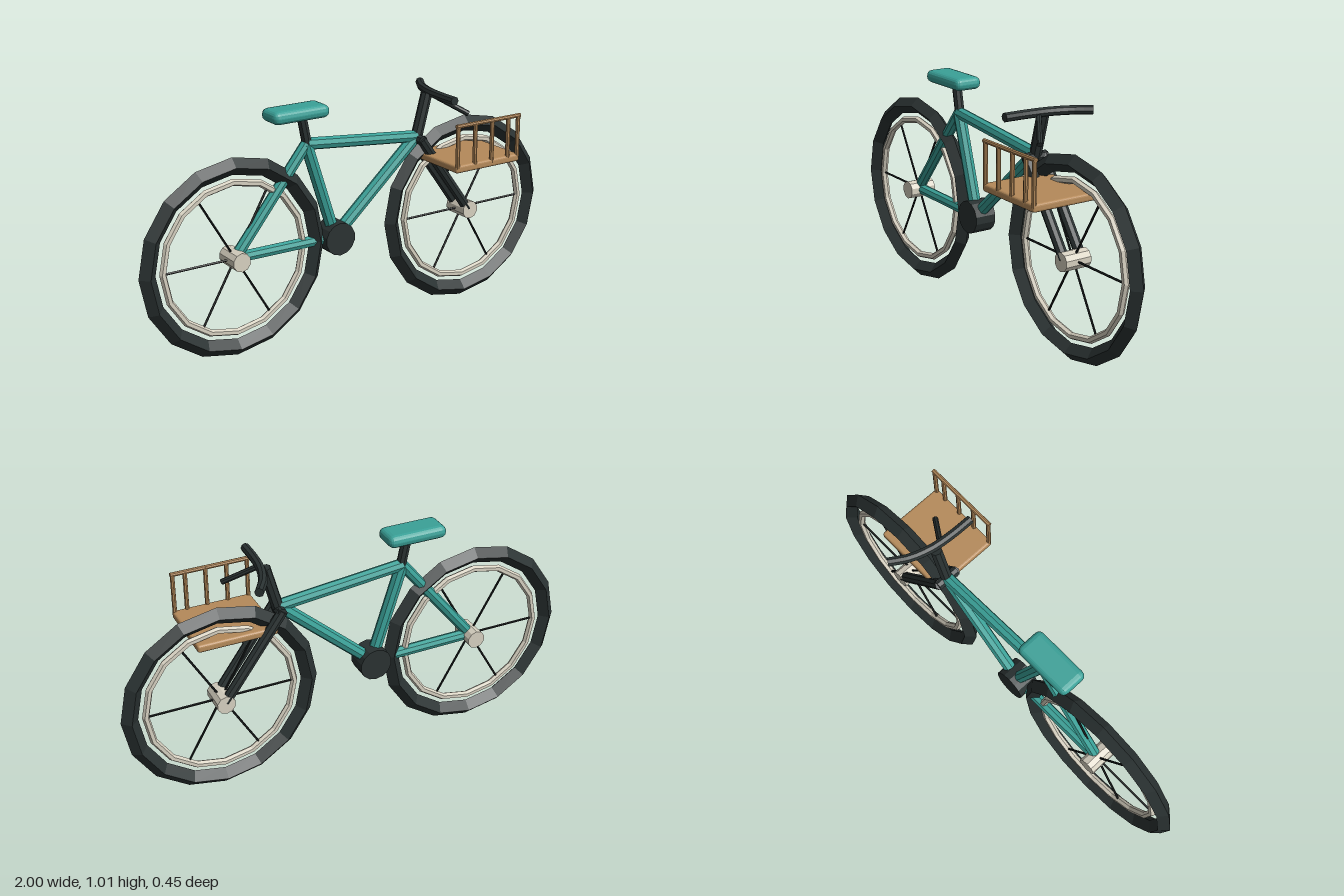
import * as THREE from 'three';
import { RoundedBoxGeometry } from 'three/addons/geometries/RoundedBoxGeometry.js';

const paint = (color) => new THREE.MeshStandardMaterial({ color, flatShading: true });

export function createModel() {
  const bike = new THREE.Group();
  bike.name = 'bicycle';
  const teal = paint(0x3aa198), dark = paint(0x2a3232), black = paint(0x161a1a);
  const cream = paint(0xd6d0c0), wood = paint(0xb58a5a);
  const Z = -0.045; // plane of the frame

  const add = (name, geometry, material, parent = bike) => {
    const mesh = new THREE.Mesh(geometry, material);
    mesh.name = name;
    parent.add(mesh);
    return mesh;
  };

  // Straight round bar between two points
  const bar = (name, a, b, r, material, parent = bike, sides = 8) => {
    const from = new THREE.Vector3(...a), to = new THREE.Vector3(...b);
    const dir = to.clone().sub(from);
    const mesh = add(name, new THREE.CylinderGeometry(r, r, dir.length(), sides), material, parent);
    mesh.position.copy(from).add(to).multiplyScalar(0.5);
    mesh.quaternion.setFromUnitVectors(new THREE.Vector3(0, 1, 0), dir.normalize());
    return mesh;
  };

  // Wheels: tyre with a ridged tread, rim, hub and three full-width spokes
  for (const [name, x] of [['rearWheel', -0.577], ['frontWheel', 0.577]]) {
    const wheel = new THREE.Group();
    wheel.name = name;
    wheel.position.set(x, 0.423, Z);
    bike.add(wheel);
    add('tyre', new THREE.TorusGeometry(0.387, 0.036, 4, 16), dark, wheel);
    add('rim', new THREE.TorusGeometry(0.32, 0.015, 6, 16), cream, wheel);
    bar('hub', [0, 0, -0.06], [0, 0, 0.06], 0.04, cream, wheel, 10);
    for (let i = 0; i < 3; i++) {
      const a = (i * Math.PI) / 3, c = 0.315 * Math.cos(a), s = 0.315 * Math.sin(a);
      bar('spoke', [-c, -s, 0], [c, s, 0], 0.005, black, wheel, 5);
    }
  }

  // Frame tubes
  const seatTop = [-0.235, 0.845, Z], crank = [-0.1, 0.42, Z];
  const rearHub = [-0.577, 0.425, Z], head = [0.315, 0.79, Z];
  bar('topTube', seatTop, head, 0.026, teal);
  bar('downTube', head, crank, 0.027, teal);
  bar('seatTube', seatTop, crank, 0.027, teal);
  bar('seatStay', seatTop, rearHub, 0.024, teal);
  bar('chainStay', rearHub, crank, 0.024, teal);
  bar('crankHousing', [-0.1, 0.42, Z - 0.048], [-0.1, 0.42, Z + 0.048], 0.071, dark, bike, 14);

  // Saddle and post
  bar('seatPost', [-0.228, 0.83, Z], [-0.255, 0.965, Z], 0.021, dark);
  add('saddle', new RoundedBoxGeometry(0.26, 0.054, 0.124, 2, 0.025), teal).position.set(-0.281, 0.982, Z);

  // Fork and steering stem
  for (const side of [-1, 1]) {
    const z = Z + side * 0.04;
    bar('forkBlade', [0.315, 0.785, z], [0.573, 0.428, z], 0.022, dark);
  }
  bar('forkCrown', [0.32, 0.778, Z - 0.05], [0.32, 0.778, Z + 0.05], 0.022, dark);
  bar('stem', [0.315, 0.77, Z], [0.37, 0.972, Z], 0.025, dark);

  // Handlebar, swept and turned, with one brake lever
  const sweep = new THREE.CatmullRomCurve3([
    [0.375, 0.974, 0.143], [0.377, 0.974, 0.04], [0.387, 0.974, -0.05], [0.415, 0.974, -0.14], [0.462, 0.974, -0.217],
  ].map((p) => new THREE.Vector3(...p)));
  add('handlebar', new THREE.TubeGeometry(sweep, 10, 0.019, 8), dark);
  for (const t of [0, 1]) {
    const cap = add('gripEnd', new THREE.CircleGeometry(0.019, 8), dark);
    const p = sweep.getPointAt(t);
    cap.position.copy(p);
    cap.lookAt(p.add(sweep.getTangentAt(t).multiplyScalar(t ? 1 : -1)));
  }
  bar('brakeLever', [0.385, 0.965, -0.01], [0.507, 0.885, 0.07], 0.012, dark);

  // Basket: tray with a railing on its outer edge and a strut to the fork
  const basket = new THREE.Group();
  basket.name = 'basket';
  bike.add(basket);
  add('tray', new RoundedBoxGeometry(0.34, 0.033, 0.305, 2, 0.01), wood, basket).position.set(0.505, 0.7, 0.066);
  for (const x of [0.345, 0.435, 0.525, 0.612, 0.665]) {
    bar('railingPost', [x, 0.7, 0.21], [x, 0.888, 0.21], 0.0095, wood, basket);
  }
  bar('railingTop', [0.336, 0.885, 0.21], [0.674, 0.885, 0.21], 0.0095, wood, basket);
  bar('basketStrut', [0.49, 0.69, 0.055], [0.44, 0.62, -0.005], 0.012, dark, basket);

  return bike;
}
